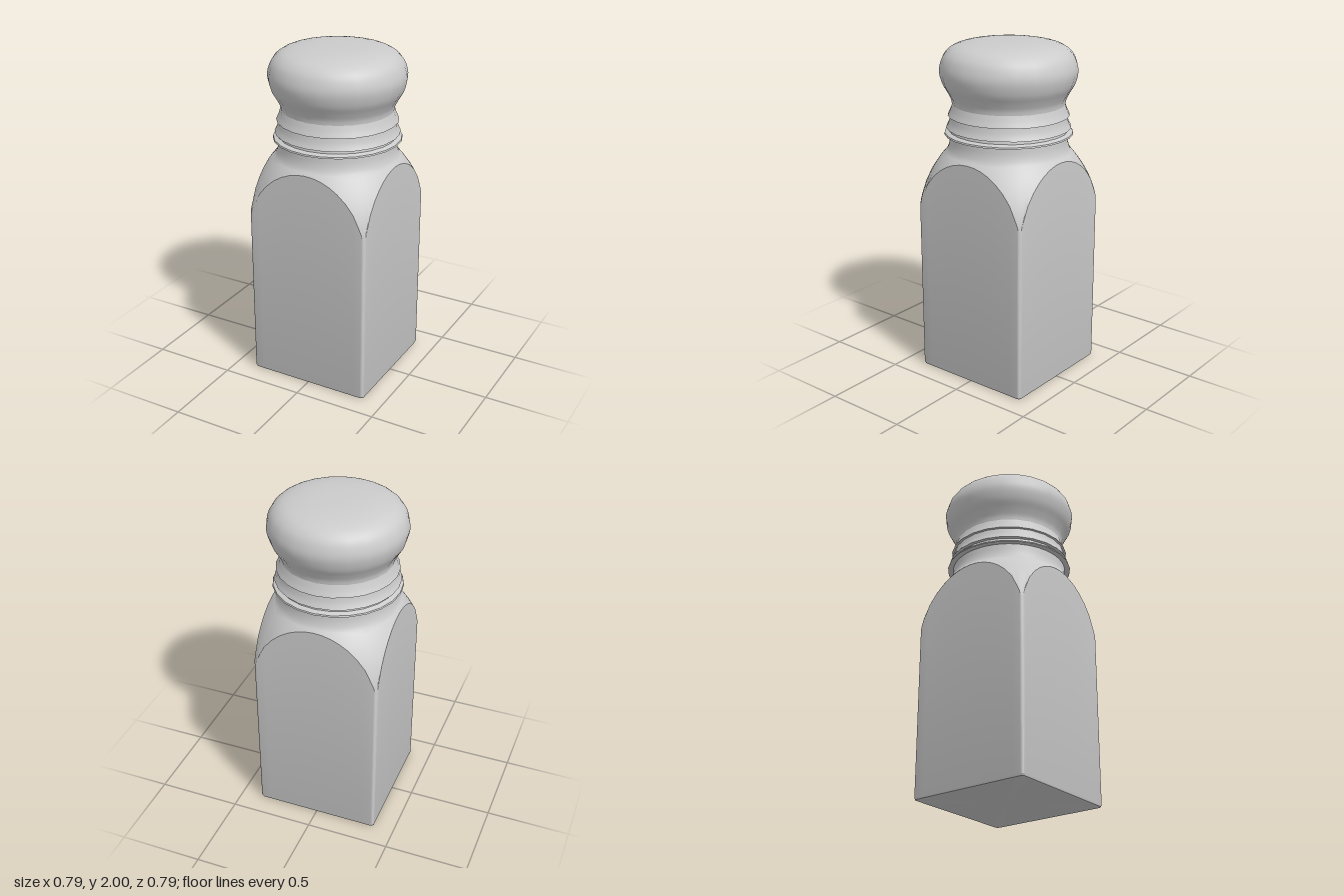
import * as THREE from 'three';
import { toCreasedNormals } from 'three/addons/utils/BufferGeometryUtils.js';

const HALF = 0.376, CORNER = 0.02;
const v = (x, y) => new THREE.Vector2(x, y);

// Outline of the rounded square, counted round by angle
function squareOutline() {
  const pts = [], s = HALF - CORNER, n = 14, arc = 6;
  for (let q = 0; q < 4; q++) {
    const turn = q * Math.PI / 2, origin = v(0, 0);
    for (let i = 0; i < n; i++) pts.push(v(HALF, -s + 2 * s * i / n).rotateAround(origin, turn));
    for (let i = 0; i < arc; i++) {
      const a = i / arc * Math.PI / 2;
      pts.push(v(s + CORNER * Math.cos(a), s + CORNER * Math.sin(a)).rotateAround(origin, turn));
    }
  }
  return pts;
}

// Square bottle whose flat sides are cut off by a round dome, leaving arches
function bodyGeometry() {
  const dome = new THREE.CubicBezierCurve(v(0.525, 1.0), v(0.525, 1.12), v(0.45, 1.27), v(0.36, 1.365));
  const neck = [[0.351, 1.385], [0.345, 1.405], [0.341, 1.43], [0.34, 1.485], [0, 1.485]];
  const domeRows = 10, outline = squareOutline(), count = outline.length;
  const pos = [], index = [];
  let rows = 0;

  for (const p of outline) {
    const rho = p.length();
    const column = [[0, 0], [rho * 0.965, 0], [rho * 0.99, 0.004], [rho, 0.016]];
    // Find where the dome meets the flat side in this direction
    let lo = 0, hi = 1;
    for (let k = 0; k < 30; k++) {
      const mid = (lo + hi) / 2;
      if (dome.getPoint(mid).x > rho) lo = mid; else hi = mid;
    }
    for (let k = 0; k <= domeRows; k++) {
      const d = dome.getPoint(lo + (1 - lo) * k / domeRows);
      column.push([d.x, d.y]);
    }
    column.push(...neck);
    rows = column.length;
    for (const [r, y] of column) pos.push(p.x / rho * r, y, p.y / rho * r);
  }
  for (let i = 0; i < count; i++) {
    const next = (i + 1) % count;
    for (let j = 0; j < rows - 1; j++) {
      const a = i * rows + j, b = next * rows + j;
      if (j > 0) index.push(a, a + 1, b);
      if (j < rows - 2) index.push(b, a + 1, b + 1);
      else index.push(a, a + 1, b);
    }
  }
  const g = new THREE.BufferGeometry();
  g.setAttribute('position', new THREE.Float32BufferAttribute(pos, 3));
  g.setIndex(index);
  return toCreasedNormals(g, 0.4);
}

export function createModel() {
  const group = new THREE.Group();
  const material = new THREE.MeshStandardMaterial({ color: 0xcccccc, side: THREE.DoubleSide });
  const add = (name, geometry) => {
    const mesh = new THREE.Mesh(geometry, material);
    mesh.name = name;
    group.add(mesh);
  };

  add('bottleBody', bodyGeometry());

  // Thin flange and two flared skirts below the knob
  const skirt = [
    [0.30, 1.465], [0.374, 1.465], [0.371, 1.474], [0.345, 1.484], [0.341, 1.503],
    [0.362, 1.503], [0.352, 1.52], [0.343, 1.545], [0.339, 1.572],
    [0.352, 1.574], [0.343, 1.592], [0.335, 1.61], [0.326, 1.64],
  ].map(([x, y]) => v(x, y));
  add('capSkirt', toCreasedNormals(new THREE.LatheGeometry(skirt, 24), 0.5));

  // Rounded knob with a nearly flat top
  const knob = new THREE.SplineCurve([
    [0.326, 1.64], [0.332, 1.67], [0.352, 1.71], [0.38, 1.76], [0.396, 1.825],
    [0.388, 1.88], [0.362, 1.93], [0.31, 1.968], [0.22, 1.99], [0.11, 1.999], [0, 2],
  ].map(([x, y]) => v(x, y)));
  const knobPoints = knob.getPoints(40);
  knobPoints[40].x = 0;
  add('capKnob', new THREE.LatheGeometry(knobPoints, 24));

  return group;
}
